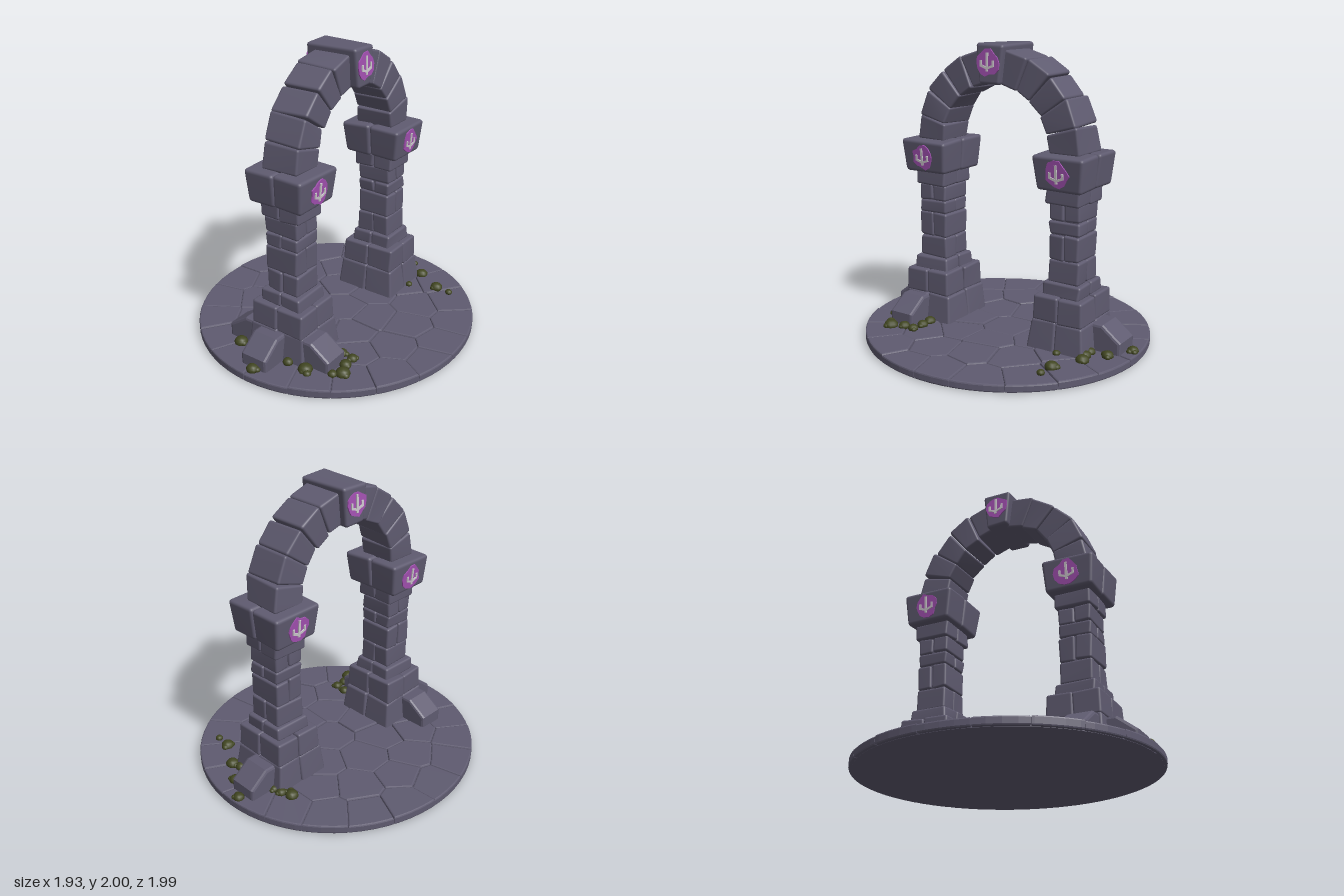
import * as THREE from 'three';
import { RoundedBoxGeometry } from 'three/addons/geometries/RoundedBoxGeometry.js';
import { mergeVertices } from 'three/addons/utils/BufferGeometryUtils.js';

const mat = (name, color) => {
  const m = new THREE.MeshStandardMaterial({ color });
  m.name = name;
  return m;
};
const stoneMat = mat('slate stone', 0x5f5b70);
const mossMat = mat('moss green', 0x414621);
const glowMat = mat('violet glow', 0xa552b4);
const runeMat = mat('pale rune', 0xcfcad0);

let seed = 7;
const rand = () => ((seed = (seed * 16807) % 2147483647) / 2147483647);
const jit = (a) => (rand() - 0.5) * 2 * a;
const CX = 0.025; // the archway sits slightly left of centre

function add(parent, name, geometry, material = stoneMat) {
  const m = new THREE.Mesh(geometry, material);
  m.name = name;
  parent.add(m);
  return m;
}

// Rounded block with uneven corners; map() then bends or tapers each vertex
function stone(w, h, d, map, bevel = 0.016, rough = 0.005) {
  let g = new RoundedBoxGeometry(w, h, d, 2, bevel);
  g.clearGroups();
  g.deleteAttribute('uv');
  g.deleteAttribute('normal');
  g = mergeVertices(g, 1e-5);
  const corners = Array.from({ length: 8 }, () => new THREE.Vector3(jit(rough), jit(rough), jit(rough)));
  const p = g.attributes.position, v = new THREE.Vector3();
  for (let i = 0; i < p.count; i++) {
    v.fromBufferAttribute(p, i);
    v.add(corners[(v.x > 0) + 2 * (v.y > 0) + 4 * (v.z > 0)]);
    map(v);
    p.setXYZ(i, v.x, v.y, v.z);
  }
  g.computeVertexNormals();
  return g;
}

// One course of masonry cut into nx by nz stones; bx, bz scale its foot, tx, tz its top
function course(parent, name, { w, d, y0, y1, x = CX, z = 0, nx = 1, nz = 1, bx = 1, bz = 1, bevel }) {
  const h = y1 - y0;
  for (let i = 0; i < nx; i++) for (let k = 0; k < nz; k++) {
    const ox = ((i + 0.5) / nx - 0.5) * w, oz = ((k + 0.5) / nz - 0.5) * d;
    add(parent, name, stone(w / nx, h, d / nz, (v) => {
      const t = THREE.MathUtils.clamp(v.y / h + 0.5, 0, 1);
      v.set(x + (v.x + ox) * THREE.MathUtils.lerp(bx, 1, t), v.y + y0 + h / 2,
        z + (v.z + oz) * THREE.MathUtils.lerp(bz, 1, t));
    }, bevel));
  }
}

// Bevelled prism of a side profile, centred on its thickness
function prism(points, thickness, b = 0.018) {
  const g = new THREE.ExtrudeGeometry(new THREE.Shape(points.map((p) => new THREE.Vector2(...p))), {
    depth: thickness - 2 * b, bevelThickness: b, bevelSize: b, bevelOffset: -b, bevelSegments: 2,
  });
  return g.translate(0, 0, -thickness / 2 + b);
}

// Part of a polygon that lies nearer to a than to b
function clip(poly, a, b, gap) {
  const n = b.clone().sub(a).normalize(), mid = a.clone().add(b).multiplyScalar(0.5);
  const side = (p) => p.clone().sub(mid).dot(n) + gap;
  const out = [];
  poly.forEach((p, i) => {
    const q = poly[(i + 1) % poly.length], s = side(p), t = side(q);
    if (s <= 0) out.push(p);
    if (s * t < 0) out.push(p.clone().lerp(q, s / (s - t)));
  });
  return out;
}

// Round floor of irregular paving stones on a thin bed
function makeFloor() {
  const floor = new THREE.Group();
  floor.name = 'pavedFloor';
  const bed = add(floor, 'floorBed', new THREE.CylinderGeometry(0.945, 0.945, 0.044, 64));
  bed.position.y = 0.022;
  bed.scale.z = 1.03;
  const rim = Array.from({ length: 72 }, (_, i) => {
    const a = (i / 72) * Math.PI * 2;
    return new THREE.Vector2(0.965 * Math.cos(a), 0.995 * Math.sin(a));
  });
  const seeds = [];
  for (const [n, r] of [[1, 0.03], [7, 0.32], [13, 0.58], [20, 0.86]]) {
    for (let i = 0; i < n; i++) {
      const a = ((i + 0.3 + jit(0.2)) / n) * Math.PI * 2, q = r + jit(0.05);
      seeds.push(new THREE.Vector2(q * Math.cos(a), q * Math.sin(a)));
    }
  }
  for (const s of seeds) {
    let cell = rim;
    for (const o of seeds) if (o !== s) cell = clip(cell, s, o, 0.001);
    const h = 0.056 + jit(0.004), b = 0.01;
    const g = new THREE.ExtrudeGeometry(new THREE.Shape(cell), {
      depth: h - 2 * b, bevelThickness: b, bevelSize: b, bevelOffset: -b, bevelSegments: 2,
    });
    add(floor, 'pavingStone', g.rotateX(-Math.PI / 2).translate(0, b + 0.002, 0));
  }
  return floor;
}

// Pillar standing at z = 0.53 * s
function makePillar(s) {
  const p = new THREE.Group();
  p.name = s > 0 ? 'frontPillar' : 'backPillar';
  const z = 0.53 * s;
  add(p, 'pillarCore', new THREE.BoxGeometry(0.22, 1.2, 0.19)).position.set(CX, 0.64, z);
  course(p, 'footStone', { w: 0.41, d: 0.37, y0: 0.03, y1: 0.245, z: z - 0.005 * s, nx: 2, nz: 2, bx: 1.12, bz: 1.13 });
  course(p, 'baseStone', { w: 0.4, d: 0.355, y0: 0.24, y1: 0.41, z, nx: 2, nz: 2, bx: 1.02, bz: 1.02 });
  course(p, 'plinthStone', { w: 0.3, d: 0.265, y0: 0.4, y1: 0.495, z, nx: 2, bx: 1.05, bz: 1.05 });
  [0.49, 0.64, 0.81, 0.9, 1.015].forEach((y, i, ys) => {
    if (i < 4) course(p, 'shaftStone', { w: 0.25, d: 0.222, y0: y, y1: ys[i + 1], z, nx: 2 - (i % 2), nz: 1 + (i % 2) });
  });
  course(p, 'neckStone', { w: 0.3, d: 0.25, y0: 1.01, y1: 1.12, z, nx: 2, bx: 0.98 });
  course(p, 'capitalStone', { w: 0.455, d: 0.372, y0: 1.11, y1: 1.335, z, nx: 2, bx: 0.9, bz: 0.87, bevel: 0.024 });

  // Sloping buttress on the outer side
  const out = prism([[0.5, 0.02], [0.91, 0.02], [0.91, 0.135], [0.78, 0.235], [0.5, 0.235]], 0.205);
  const b = add(p, 'outerButtress', out);
  b.rotation.y = -s * Math.PI / 2;
  b.position.x = s > 0 ? -0.01 : -0.03;
  if (s > 0) {
    // Cross buttress sloping to both sides
    const cross = prism([[-0.39, 0.02], [0.43, 0.02], [0.43, 0.14], [0.29, 0.235], [-0.25, 0.235], [-0.39, 0.14]], 0.19);
    add(p, 'crossButtress', cross).position.z = 0.605;
  }
  return p;
}

// Arch of bent blocks with a keystone
function makeArch() {
  const arch = new THREE.Group();
  arch.name = 'arch';
  const n = 5, start = 0.13, step = (Math.PI / 2 - start) / n, rm = 0.53;
  for (const s of [-1, 1]) for (let i = 0; i < n; i++) {
    const mid = s * (start + (i + 0.5) * step), extra = jit(0.005);
    add(arch, 'archStone', stone(0.275 + extra, 0.222 + extra, step * rm, (v) => {
      const a = mid + v.z / rm, r = rm + v.y;
      v.set(CX + v.x, 1.325 + r * Math.cos(a), r * Math.sin(a));
    }, 0.016, 0.007));
  }
  course(arch, 'keystone', { w: 0.38, d: 0.212, y0: 1.74, y1: 2, bx: 1.02, bz: 0.7, bevel: 0.022 });
  return arch;
}

// Violet patch with a pronged ornament, facing +x or -x
function makeEmblem(side, halfWidth, y, z, tilt) {
  const e = new THREE.Group();
  e.name = 'glowingEmblem';
  const outline = new THREE.Shape(Array.from({ length: 14 }, (_, i) => {
    const a = (i / 14) * Math.PI * 2, r = 0.084 + jit(0.012);
    return new THREE.Vector2(r * Math.cos(a), r * Math.sin(a));
  }));
  add(e, 'glowPatch', new THREE.ExtrudeGeometry(outline, { depth: 0.008, bevelEnabled: false }), glowMat);
  const bars = [[0, 0.005, 0.016, 0.12, 0], [-0.024, -0.026, 0.05, 0.015, -0.35], [0.024, -0.026, 0.05, 0.015, 0.35],
    [-0.046, -0.004, 0.014, 0.04, 0], [0.046, -0.004, 0.014, 0.04, 0]];
  for (const [bx, by, w, h, turn] of bars) {
    const bar = add(e, 'ornamentBar', new THREE.BoxGeometry(w, h, 0.008), runeMat);
    bar.position.set(bx, by, 0.011);
    bar.rotation.z = turn;
  }
  e.rotation.set(tilt, side * Math.PI / 2, 0, 'YXZ');
  e.position.set(CX + side * halfWidth, y, z);
  return e;
}

export function createModel() {
  const model = new THREE.Group();
  model.name = 'stoneArchway';
  model.add(makeFloor(), makePillar(1), makePillar(-1), makeArch());
  for (const side of [-1, 1]) {
    for (const z of [-0.53, 0.53]) model.add(makeEmblem(side, 0.22, 1.22, z, 0.1));
    model.add(makeEmblem(side, 0.194, 1.88, 0, -0.02));
  }

  // Moss clumps: x, z, radius
  const moss = new THREE.Group();
  moss.name = 'moss';
  const clumps = [[-0.04, -0.95, 0.038], [0.12, -0.85, 0.04], [-0.27, -0.69, 0.045], [-0.2, -0.72, 0.035],
    [-0.14, -0.73, 0.03], [0.27, -0.75, 0.045], [0.2, -0.73, 0.04], [0.13, -0.73, 0.035], [0.46, -0.64, 0.045],
    [0.57, -0.63, 0.026], [0.27, -0.56, 0.025], [-0.26, 0.74, 0.047], [0, 0.93, 0.042], [0.28, 0.74, 0.05],
    [0.29, 0.46, 0.04], [0.37, 0.46, 0.038], [0.46, 0.47, 0.036], [0.46, 0.55, 0.04], [0.5, 0.635, 0.05],
    [0.45, 0.68, 0.032], [0.14, 0.74, 0.036], [-0.13, 0.74, 0.036]];
  for (const [x, z, r] of clumps) {
    for (let i = 0; i < 3; i++) {
      const k = i ? 0.55 : 1;
      const m = add(moss, 'mossClump', new THREE.SphereGeometry(r * k, 10, 8), mossMat);
      m.position.set(x + (i ? jit(r * 0.8) : 0), 0.066, z + (i ? jit(r * 0.8) : 0));
      m.scale.y = 0.8;
    }
  }
  model.add(moss);
  return model;
}
